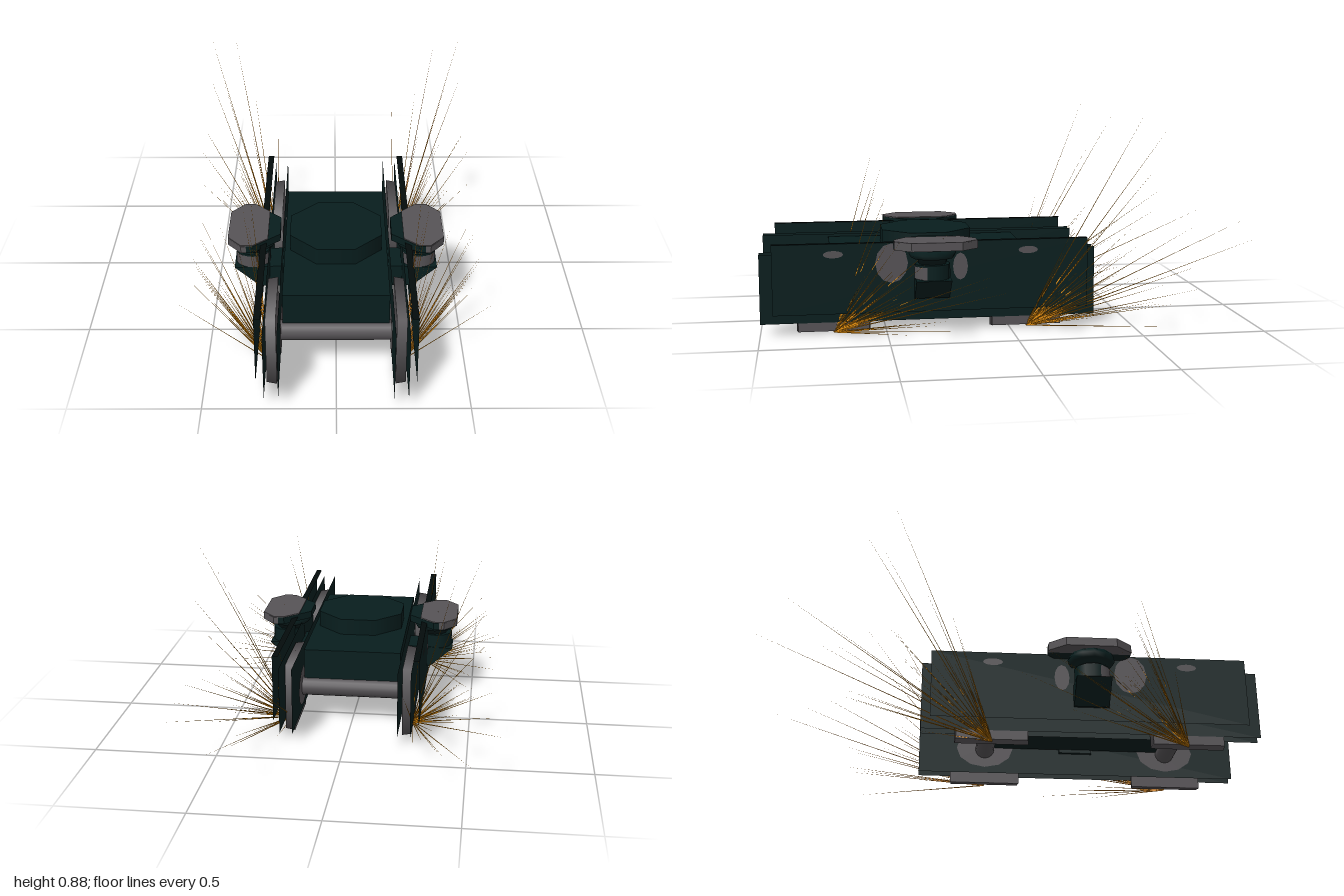
import * as THREE from 'three';

const mat = (name, color) => {
  const m = new THREE.MeshStandardMaterial({ color, side: THREE.DoubleSide });
  m.name = name;
  return m;
};

export function createModel() {
  const root = new THREE.Group();
  root.name = 'bogie';
  const green = mat('darkGreen', 0x081e1e);
  const black = mat('blackGreen', 0x040c0c);
  const grey = mat('grey', 0x565356);
  const orange = mat('sparkOrange', 0xffa010);

  const add = (name, geo, material, x = 0, y = 0, z = 0) => {
    const m = new THREE.Mesh(geo, material);
    m.name = name;
    m.position.set(x, y, z);
    root.add(m);
  };
  // Upright sheet facing sideways, given by its z and y ranges
  const sidePlane = (name, x, z0, z1, y0, y1) =>
    add(name, new THREE.PlaneGeometry(z1 - z0, y1 - y0).rotateY(Math.PI / 2), green, x, (y0 + y1) / 2, (z0 + z1) / 2);
  // Worn patch on a sheet
  const patch = (x, y, z, rz, ry) =>
    add('wornPatch', new THREE.CircleGeometry(1, 12).scale(rz, ry, 1).rotateY(Math.PI / 2), grey, x, y, z);
  // Solid of thickness t from corner pairs, mirrored by s
  const slab = (s, pts, t) => new THREE.ExtrudeGeometry(
    new THREE.Shape(pts.map(([a, b]) => new THREE.Vector2(s * a, b))), { depth: t, bevelEnabled: false });
  // Flat plate from [x, z] corners, its top at height y
  const plate = (name, material, s, pts, y, t) =>
    add(name, slab(s, pts, t).rotateX(Math.PI / 2), material, 0, y, 0);

  const axles = [0.71, -0.07], midZ = 0.32;

  // Centre beam and round pivot
  add('centreBeam', new THREE.BoxGeometry(0.41, 0.16, 0.8), green, 0, 0.24, midZ);
  add('pivot', new THREE.CylinderGeometry(0.198, 0.198, 0.07, 8).rotateY(Math.PI / 8), green, 0, 0.354, midZ);

  for (const z of axles)
    add('axle', new THREE.CylinderGeometry(0.04, 0.04, 0.46, 16).rotateZ(Math.PI / 2), grey, 0, 0.155, z);

  // Seeded numbers for the sparks
  let seed = 11;
  const rnd = () => (seed = (seed * 16807) % 2147483647) / 2147483647;

  // Each spark is two crossed slivers from the wheel's contact point
  const sparks = (s, z, ends) => {
    const pos = [], start = new THREE.Vector3(s * 0.258, 0.008, z);
    for (const [ex, ey, ez] of ends) {
      const end = new THREE.Vector3(s * ex, ey, ez);
      const dir = end.clone().sub(start).normalize();
      const a = new THREE.Vector3(0, 1, 0).cross(dir).setLength(0.0027);
      const b = dir.clone().cross(a).setLength(0.0027);
      for (const w of [a, b]) {
        const p = start.clone().add(w), q = start.clone().sub(w);
        pos.push(...p.toArray(), ...q.toArray(), ...end.toArray());
      }
    }
    const geo = new THREE.BufferGeometry();
    geo.setAttribute('position', new THREE.Float32BufferAttribute(pos, 3));
    geo.computeVertexNormals();
    add('sparks', geo, orange);
  };
  const fan = (z, count, reach) => Array.from({ length: count }, () => {
    const side = 0.03 + 0.36 * rnd(), rise = 0.03 + 0.48 * rnd();
    const k = 0.6 + 0.4 * rnd();
    return [0.26 + side * k, rise * k + 0.01, z - reach * (0.2 + 0.8 * rnd()) * k];
  });
  const frontEnds = [[0.33, 0.68, 0.52], [0.36, 0.58, 0.5], [0.34, 0.5, 0.5], [0.62, 0.12, 0.3], [0.57, 0.28, 0.1],
    [0.45, 0.03, 0.42], [0.5, 0.2, 0.02], ...fan(0.71, 30, 0.6)];
  const rearEnds = [[0.45, 0.82, -0.6], [0.55, 0.89, -0.48], [0.4, 0.37, -1], [0.54, 0.47, -0.89],
    [0.65, 0.22, -0.68], [0.57, 0.68, -0.52], [0.62, 0.31, -0.7], [0.27, 0.4, -0.77],
    ...fan(-0.07, 26, 0.72)];

  for (const s of [1, -1]) {
    // Layered side frames
    for (const x of [0.215, 0.268]) sidePlane('innerFrame', s * x, -0.35, 1, 0.05, 0.33);
    sidePlane('outerFrame', s * 0.3, -0.315, 0.95, 0.09, 0.372);
    add('frameTop', new THREE.PlaneGeometry(0.025, 1.265).rotateX(-Math.PI / 2), black, s * 0.2875, 0.372, 0.3175);

    for (const z of axles) {
      // Square-sided wheel, slightly narrower outside
      const wheel = new THREE.CylinderGeometry(0.2, 0.207, 0.04, 4).rotateY(Math.PI / 4).rotateZ(-s * Math.PI / 2);
      add('wheel', wheel, grey, s * 0.245, 0.155, z);
      patch(s * 0.211, 0.16, z, 0.12, 0.085);
      patch(s * 0.303, 0.33, z, 0.04, 0.015);
    }
    patch(s * 0.303, 0.29, 0.48, 0.065, 0.08);
    patch(s * 0.303, 0.27, 0.205, 0.03, 0.055);

    // Spring mount: sloping bracket, drum, rim and neck
    add('mountBracket', slab(s, [[0.2, 0.145], [0.31, 0.145], [0.41, 0.232], [0.2, 0.24]], 0.14), green, 0, 0, midZ - 0.07);
    add('mountDrum', new THREE.CylinderGeometry(0.07, 0.07, 0.06, 12), green, s * 0.335, 0.262, midZ);
    add('drumFace', new THREE.CylinderGeometry(0.073, 0.073, 0.05, 8, 1, true, -1.2, 2.4), grey, s * 0.335, 0.26, midZ);
    const rim = [[0, 0.285], [0.055, 0.285], [0.06, 0.313], [0.085, 0.316], [0.095, 0.333], [0.085, 0.352], [0, 0.355]]
      .map(([r, y]) => new THREE.Vector2(r, y));
    add('mountRim', new THREE.LatheGeometry(rim, 12), green, s * 0.33, 0, midZ);

    // Eight-sided cap, grey on its outer part
    plate('cap', green, s, [[0.222, 0.25], [0.33, 0.145], [0.355, 0.145], [0.355, 0.475], [0.33, 0.475], [0.222, 0.38]], 0.384, 0.03);
    plate('capOuter', grey, s, [[0.355, 0.145], [0.375, 0.145], [0.43, 0.21], [0.43, 0.41], [0.375, 0.475], [0.355, 0.475]], 0.384, 0.03);
    plate('capTop', grey, s, [[0.27, 0.205], [0.33, 0.147], [0.375, 0.147], [0.43, 0.21], [0.43, 0.41],
      [0.375, 0.473], [0.33, 0.473], [0.27, 0.42]], 0.388, 0.005);

    sparks(s, 0.71, frontEnds);
    sparks(s, -0.07, rearEnds);
  }
  return root;
}
